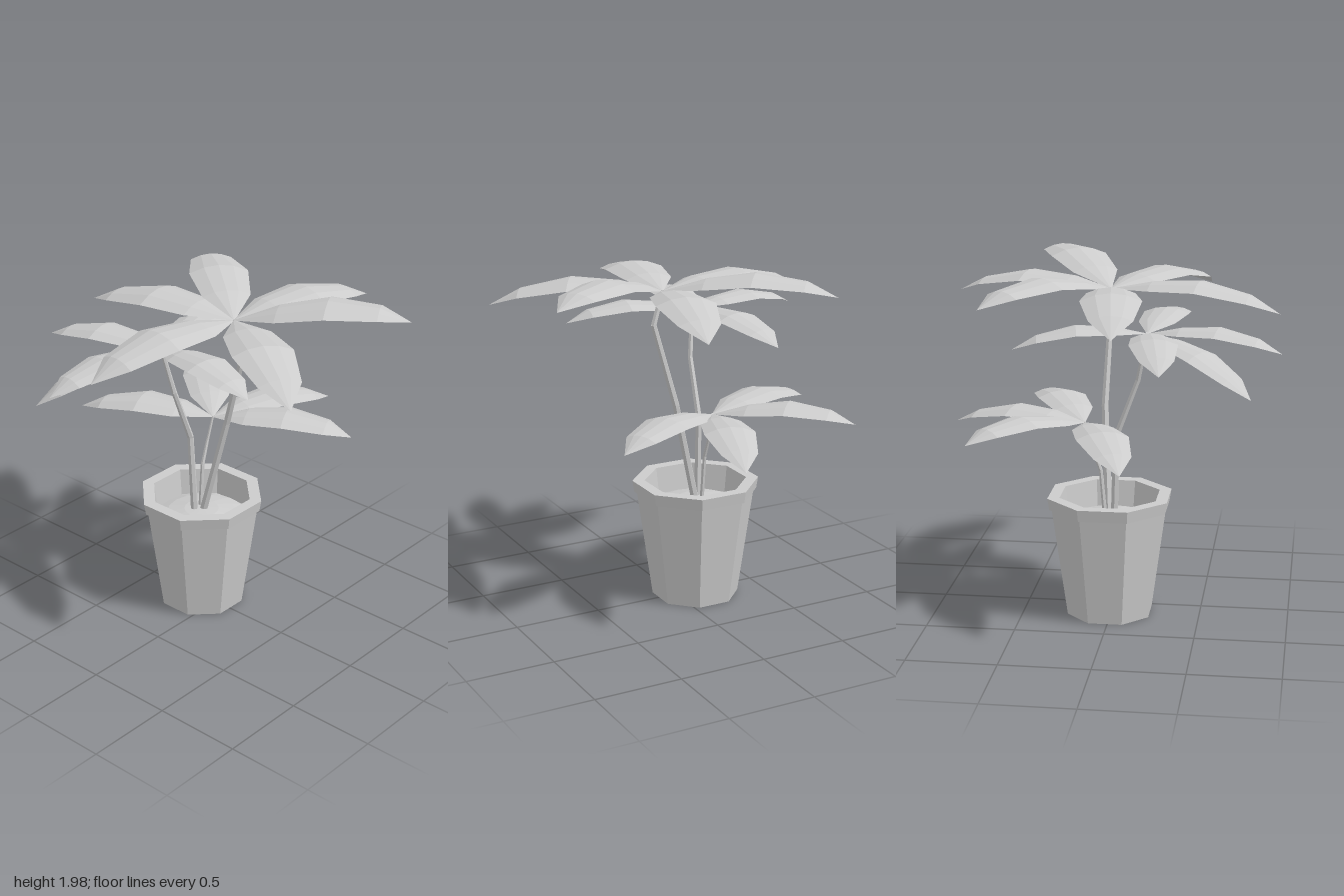
import * as THREE from 'three';

const material = new THREE.MeshStandardMaterial({ color: 0xcccccc, flatShading: true });
const leafMaterial = new THREE.MeshStandardMaterial({ color: 0xcccccc, flatShading: true, side: THREE.DoubleSide });

function named(geometry, name, mat = material) {
  const mesh = new THREE.Mesh(geometry, mat);
  mesh.name = name;
  return mesh;
}

// Leaf stations: [distance along, half width, arch height], as shares of the leaf length
const STATIONS = [
  [0, 0.005, 0],
  [0.25, 0.14, 0.078],
  [0.53, 0.175, 0.122],
  [0.82, 0.122, 0.082],
  [1, 0, 0],
];

// One arched, pointed leaf from its base to its tip; the edges droop a little
function leaf(base, tip) {
  const along = new THREE.Vector3().subVectors(tip, base);
  const length = Math.hypot(along.x, along.z);
  const side = new THREE.Vector3(-along.z, 0, along.x).divideScalar(length);
  const geometry = new THREE.PlaneGeometry(2, 1, 4, STATIONS.length - 1);
  const pos = geometry.attributes.position;
  const p = new THREE.Vector3();
  for (let i = 0; i < pos.count; i++) {
    const s = pos.getX(i);
    const [t, halfWidth, arch] = STATIONS[Math.floor(i / 5)];
    p.copy(base).addScaledVector(along, t).addScaledVector(side, s * halfWidth * length);
    p.y += length * (arch - 0.25 * halfWidth * s * s);
    pos.setXYZ(i, p.x, p.y, p.z);
  }
  geometry.computeVertexNormals();
  return named(geometry, 'leaf', leafMaterial);
}

// Tapered stem made of straight pieces through a few points
function stem(points, r0, r1) {
  const group = new THREE.Group();
  group.name = 'stem';
  const n = points.length - 1;
  const up = new THREE.Vector3(0, 1, 0);
  for (let i = 0; i < n; i++) {
    const d = new THREE.Vector3().subVectors(points[i + 1], points[i]);
    const radius = (k) => r0 + (r1 - r0) * k / n;
    const piece = named(new THREE.CylinderGeometry(radius(i + 1), radius(i), d.length() + 0.006, 6), 'stemPiece');
    piece.position.copy(points[i]).addScaledVector(d, 0.5);
    piece.quaternion.setFromUnitVectors(up, d.normalize());
    group.add(piece);
  }
  return group;
}

// Stem paths, each with the tips of the leaves that spread from its top
const SHOOTS = [
  {
    name: 'tallShoot', radii: [0.024, 0.014],
    path: [[0.02, 0.55, -0.12], [0.06, 1.17, 0.03], [0.045, 1.64, 0.16], [0.035, 1.825, 0.1]],
    tips: [[0.5, 1.9, 0.94], [-0.475, 1.73, 0.915], [-0.915, 1.73, -0.045],
      [-0.085, 1.73, -0.85], [0.645, 1.83, -0.645], [0.94, 1.76, 0.315]],
  },
  {
    name: 'middleShoot', radii: [0.022, 0.012],
    path: [[-0.015, 0.55, -0.15], [-0.03, 1.05, -0.165], [-0.15, 1.37, -0.175], [-0.205, 1.64, -0.215]],
    tips: [[-0.79, 1.38, -0.61], [-0.94, 1.57, -0.335], [-0.34, 1.57, -0.945],
      [0.52, 1.56, -0.35], [-0.33, 1.61, 0.515]],
  },
  {
    name: 'lowShoot', radii: [0.014, 0.007],
    path: [[0.035, 0.55, -0.15], [0.06, 0.84, -0.155], [0.11, 0.98, -0.16], [0.15, 1.115, -0.155]],
    tips: [[0.925, 1.04, 0.08], [0.505, 1.09, 0.573], [0.705, 1.12, -0.74], [-0.14, 1.04, -0.93]],
  },
];

export function createModel() {
  const model = new THREE.Group();
  model.name = 'pottedPlant';

  // Eight-sided pot with a collar; the profile gives the distance to the flat sides
  const toCorner = 1 / Math.cos(Math.PI / 8);
  const profile = [[0, 0], [0.23, 0], [0.312, 0.63], [0.325, 0.628], [0.335, 0.695], [0.27, 0.695], [0.25, 0.52]]
    .map(([r, y]) => new THREE.Vector2(r * toCorner, y));
  const pot = named(new THREE.LatheGeometry(profile, 8, Math.PI / 8), 'pot');

  // Slightly mounded soil
  const mound = [[0.28, 0.535], [0.2, 0.565], [0.1, 0.585], [0, 0.59]].map(([r, y]) => new THREE.Vector2(r, y));
  const soil = named(new THREE.LatheGeometry(mound, 16), 'soil');

  for (const mesh of [pot, soil]) {
    mesh.position.set(0.013, 0, -0.122);
    model.add(mesh);
  }

  // Shoots with their leaves
  for (const { name, radii, path, tips } of SHOOTS) {
    const shoot = new THREE.Group();
    shoot.name = name;
    const points = path.map((p) => new THREE.Vector3(...p));
    shoot.add(stem(points, ...radii));
    for (const tip of tips) shoot.add(leaf(points[points.length - 1], new THREE.Vector3(...tip)));
    model.add(shoot);
  }
  return model;
}
